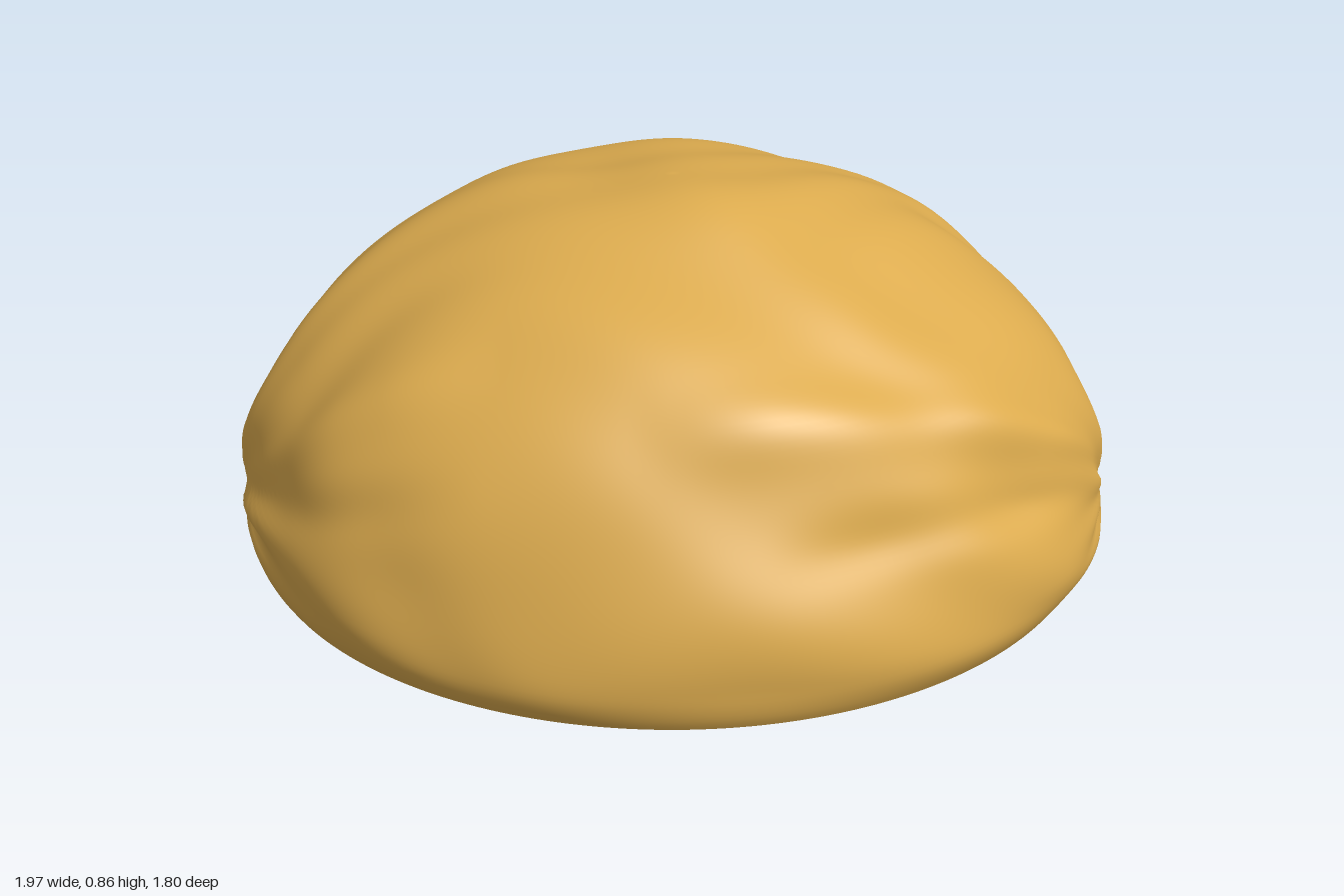
import * as THREE from 'three';

const RX = 0.985, RY = 0.765, RZ = 0.895, CY = 0.08; // ellipsoid radii and centre height
const COLS = 240, ROWS = 90;
const BASE_X = 0.955, BASE_Z = 0.87;

// Long folds running from the side pinch points: angle up from the front, bend, x range, height, width
const folds = [
  { angle: 0.76, bend: 0.1, from: -0.1, to: 1, height: 0.022, width: 0.1 },
  { angle: 0.45, bend: 0.2, from: 0.15, to: 0.95, height: -0.014, width: 0.09 },
  { angle: 2.55, bend: -0.2, from: 0.35, to: 1, height: 0.02, width: 0.11 },
  { angle: 0.85, bend: -0.35, from: -1, to: -0.4, height: 0.02, width: 0.12 },
  { angle: 0.5, bend: -0.3, from: -0.95, to: -0.45, height: -0.014, width: 0.1 },
  { angle: 2.3, bend: 0.2, from: -0.95, to: -0.3, height: 0.012, width: 0.14 },
];

// Soft lumps and creases, laid out around the x axis so they gather at both sides
function wrinkle(x, y, z) {
  const ring = Math.hypot(y, z);
  const t = Math.atan2(y, z);
  const c = Math.cos(t), s = Math.sin(t);
  const wx = x + 0.22 * Math.sin(3.1 * c + 2.3 * x + 0.7);
  const wc = c + 0.25 * Math.sin(4.2 * x + 2.4 * s + 1.9);
  const ws = s + 0.22 * Math.sin(3.7 * x - 2.9 * c);
  let d = 0.008 * Math.sin(6 * wx + 4 * wc + 0.5)
    + 0.007 * Math.sin(7 * wc - 5 * ws + 3 * wx)
    + 0.005 * Math.sin(11 * ws + 6 * wx + 2)
    + 0.003 * Math.sin(15 * wc + 9 * wx);
  for (const f of folds) {
    const inside = THREE.MathUtils.smoothstep(x, f.from, f.from + 0.3)
      * (1 - THREE.MathUtils.smoothstep(x, f.to - 0.2, f.to + 0.05));
    const off = (t - f.angle - f.bend * (Math.abs(x) - 0.6)) / f.width;
    d += f.height * inside * Math.exp(-off * off);
  }
  // fine pleats fanning out from the pinch points
  const near = THREE.MathUtils.smoothstep(Math.abs(x), 0.82, 0.97);
  d += 0.007 * near * Math.sin(13 * t + 3 * Math.sin(2 * t) + 4 * x);
  return d * Math.min(1, ring * 4);
}

function domeGeometry() {
  const pos = [], index = [];
  const last = Math.acos(-CY / RY);
  const n = new THREE.Vector3(), p = new THREE.Vector3();
  for (let i = 0; i <= ROWS; i++) {
    const a = (i / ROWS) * last;
    for (let j = 0; j < COLS; j++) {
      const u = (j / COLS) * Math.PI * 2;
      const x = Math.sin(a) * Math.cos(u), y = Math.cos(a), z = Math.sin(a) * Math.sin(u);
      p.set(x * RX, CY + y * RY, z * RZ);
      n.set(x / RX, y / RY, z / RZ).normalize();
      // fade the wrinkles out and tuck the wall in towards the flat base
      p.addScaledVector(n, wrinkle(x, y, z) * THREE.MathUtils.smoothstep(p.y, 0, 0.12));
      const tuck = Math.pow(THREE.MathUtils.clamp((CY - p.y) / CY, 0, 1), 2);
      const rim = Math.sin(last);
      p.x *= 1 - tuck * (1 - BASE_X / (RX * rim));
      p.z *= 1 - tuck * (1 - BASE_Z / (RZ * rim));
      pos.push(p.x, Math.max(0, p.y), p.z);
    }
  }
  for (let i = 0; i < ROWS; i++) {
    for (let j = 0; j < COLS; j++) {
      const k = (j + 1) % COLS;
      const A = i * COLS + j, B = i * COLS + k, C = A + COLS, D = B + COLS;
      if (i > 0) index.push(A, B, C);
      index.push(B, D, C);
    }
  }
  const g = new THREE.BufferGeometry();
  g.setAttribute('position', new THREE.Float32BufferAttribute(pos, 3));
  g.setIndex(index);
  g.computeVertexNormals();
  // one shared normal at the crown
  for (let j = 0; j < COLS; j++) g.attributes.normal.setXYZ(j, 0, 1, 0);
  return g;
}

export function createModel() {
  const group = new THREE.Group();
  group.name = 'bun';
  const crust = new THREE.MeshStandardMaterial({ color: 0xdcab4e });
  crust.name = 'golden crust';

  const dome = new THREE.Mesh(domeGeometry(), crust);
  dome.name = 'wrinkledDome';
  group.add(dome);

  // flat underside
  const under = new THREE.CircleGeometry(1, COLS);
  under.scale(BASE_X, BASE_Z, 1);
  under.rotateX(Math.PI / 2);
  const base = new THREE.Mesh(under, crust);
  base.name = 'flatBase';
  group.add(base);
  return group;
}
